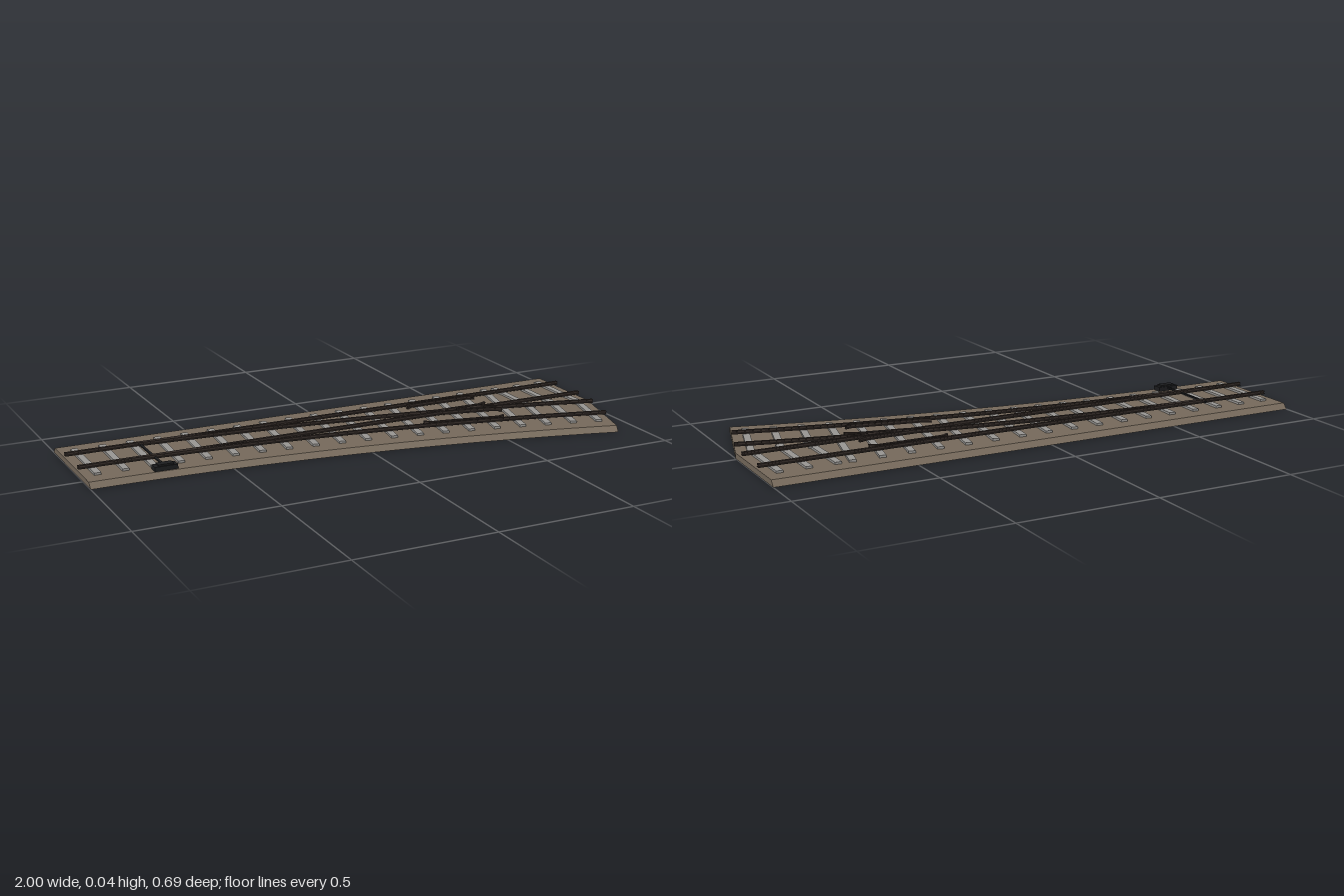
import * as THREE from 'three';

const R = 7.367, ANGLE = 0.27, LENGTH = R * ANGLE, MID = -0.13;

const mat = (name, color) => {
  const m = new THREE.MeshStandardMaterial({ color });
  m.name = name;
  return m;
};

// Track lines: distance s along the track, sideways offset o (towards +z) -> [x, z, angle]
const straight = (s, o) => [-1 + s, MID + o, 0];
const curved = (s, o) => {
  const a = s / R;
  return [-1 + (R - o) * Math.sin(a), MID + R - (R - o) * Math.cos(a), a];
};

// I-shaped rail section, swept along a track line
function railGeometry(track, offset, s0, s1) {
  const half = [[0.0085, 0.028], [0.0085, 0.0300], [0.003, 0.0312], [0.003, 0.0355], [0.0058, 0.0365], [0.0058, 0.040]];
  const pts = [...half, ...half.map(([x, y]) => [-x, y]).reverse()];
  const shape = new THREE.Shape(pts.map(([x, y]) => new THREE.Vector2(x, y)));
  const g = new THREE.ExtrudeGeometry(shape, { depth: 1, steps: 32, bevelEnabled: false });
  const p = g.attributes.position;
  for (let i = 0; i < p.count; i++) {
    const t = p.getZ(i);
    const [x, z, a] = track(s0 + (s1 - s0) * t, offset(t));
    const u = p.getX(i);
    p.setXYZ(i, x + u * Math.sin(a), p.getY(i), z - u * Math.cos(a));
  }
  g.computeVertexNormals();
  return g;
}

// Ballast bed: six-point cross-sections, bevelled along both long sides
function ballastGeometry() {
  const n = 32, H = 0.02, rings = [], out = [];
  for (let i = 0; i <= n; i++) {
    const t = i / n, x = -1 + 2 * t;
    const [fx, fz] = curved(LENGTH * t, 0.215);
    const [tx, tz] = curved(LENGTH * t, 0.197);
    const mz = MID + 0.14 * t * t;
    rings.push([[x, 0, -0.345], [x, H, -0.327], [x, H, mz], [tx, H, tz], [fx, 0, fz], [x, 0, mz]]);
  }
  const quad = (a, b, c, d) => out.push(...a, ...b, ...c, ...a, ...c, ...d);
  for (let i = 0; i < n; i++) {
    for (let j = 0; j < 6; j++) {
      const k = (j + 1) % 6;
      quad(rings[i][j], rings[i][k], rings[i + 1][k], rings[i + 1][j]);
    }
  }
  const s = rings[0], e = rings[n];
  quad(s[5], s[2], s[1], s[0]);
  quad(s[4], s[3], s[2], s[5]);
  quad(e[0], e[1], e[2], e[5]);
  quad(e[5], e[2], e[3], e[4]);
  const g = new THREE.BufferGeometry();
  g.setAttribute('position', new THREE.Float32BufferAttribute(out, 3));
  g.computeVertexNormals();
  return g;
}

export function createModel() {
  const model = new THREE.Group();
  model.name = 'railwayTurnout';
  const gravel = mat('gravel brown', 0x766a5c);
  const concrete = mat('concrete grey', 0x999794);
  const steel = mat('rusty steel', 0x332b27);
  const black = mat('machine black', 0x1c1d1f);

  const add = (name, geometry, material, parent = model) => {
    const m = new THREE.Mesh(geometry, material);
    m.name = name;
    parent.add(m);
    return m;
  };
  const group = (name) => {
    const g = new THREE.Group();
    g.name = name;
    model.add(g);
    return g;
  };

  add('ballastBed', ballastGeometry(), gravel);

  // Sleepers: long ones shared by both tracks, then separate ones where the tracks part
  const sleepers = group('sleepers');
  const sleeper = (track, s, from, to, top) => {
    const [x, z, a] = track(s, (from + to) / 2);
    const m = add('sleeper', new THREE.BoxGeometry(0.024, top - 0.015, to - from), concrete, sleepers);
    m.position.set(x, (top + 0.015) / 2, z);
    m.rotation.y = -a;
  };
  for (let k = 0; k < 20; k++) {
    const s = (k + 0.5) * LENGTH / 20;
    const [, z, a] = curved(s, 0);
    if (k < 17) {
      sleeper(curved, s, -(z + 0.27) / Math.cos(a), 0.14, 0.028);
    } else {
      sleeper(curved, s, -0.14, 0.14, 0.028);
      sleeper(straight, 0.05 + k * 0.1, -0.14, 0.14, 0.0276);
    }
  }

  // Running rails, with gaps at the crossing
  const rails = group('rails');
  const rail = (name, track, o, s0, s1) =>
    add(name, railGeometry(track, typeof o === 'function' ? o : () => o, s0, s1), steel, rails);
  rail('straightBackRail', straight, -0.075, 0, 2);
  rail('straightFrontRail', straight, 0.075, 0, 1.41);
  rail('straightFrontRailEnd', straight, 0.075, 1.46, 2);
  rail('curvedFrontRail', curved, 0.075, 0, LENGTH);
  rail('curvedBackRail', curved, -0.075, 0.26, 1.42);
  rail('curvedBackRailEnd', curved, -0.075, 1.48, LENGTH);

  // Check rails flare at both ends, wing rails at the far end only
  const bothEnds = (t) => 0.014 * Math.max(0, Math.abs(2 * t - 1) - 0.85) / 0.15;
  const farEnd = (t) => 0.014 * Math.max(0, t - 0.85) / 0.15;
  rail('straightCheckRail', straight, (t) => -0.055 + bothEnds(t), 1.31, 1.6);
  rail('curvedCheckRail', curved, (t) => 0.055 - bothEnds(t), 1.29, 1.6);
  rail('straightWingRail', straight, (t) => 0.055 - farEnd(t), 1.385, 1.6);
  rail('curvedWingRail', curved, (t) => -0.055 + farEnd(t), 1.395, 1.62);

  // Point machine and the rod that moves the blades
  const machine = group('pointMachine');
  const box = (name, w, h, d, x, y, z) =>
    add(name, new THREE.BoxGeometry(w, h, d), black, machine).position.set(x, y, z);
  box('machineBase', 0.082, 0.017, 0.036, -0.73, 0.0275, 0.05);
  box('machineCover', 0.055, 0.006, 0.028, -0.73, 0.0385, 0.05);
  box('switchRod', 0.009, 0.005, 0.25, -0.73, 0.0305, -0.09);

  return model;
}
